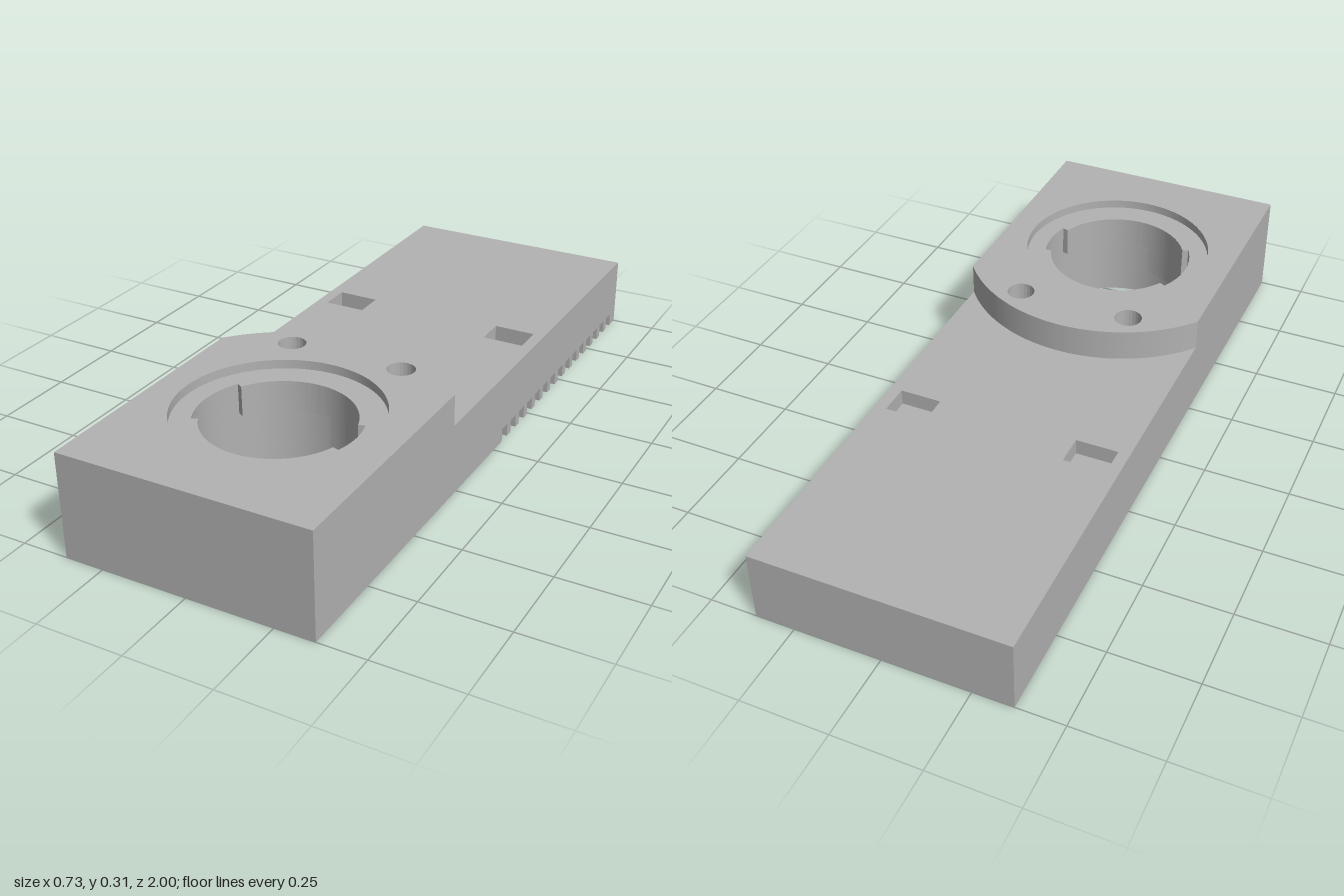
import * as THREE from 'three';
import { toCreasedNormals } from 'three/addons/utils/BufferGeometryUtils.js';

const W = 0.364, L = 1, WALL = 0.06;
const BORE_Z = 0.557, BORE_R = 0.226, LIP_R = 0.207;
const rad = THREE.MathUtils.degToRad;

// Shapes are drawn in plan: shape x = x, shape y = -z.
function circle(x, z, r, Type = THREE.Path) {
  const p = new Type();
  p.absarc(x, -z, r, 0, Math.PI * 2, false);
  return p;
}

function polygon(points, Type = THREE.Shape) {
  return new Type(points.map(([x, z]) => new THREE.Vector2(x, -z)));
}

function rect(x0, x1, z0, z1, Type = THREE.Shape) {
  return polygon([[x0, z1], [x1, z1], [x1, z0], [x0, z0]], Type);
}

// Part of a ring around the bore, angles in degrees
function sector(r0, r1, a0, a1) {
  const s = new THREE.Shape();
  s.absarc(0, -BORE_Z, r1, rad(a0), rad(a1), false);
  s.absarc(0, -BORE_Z, r0, rad(a1), rad(a0), true);
  s.closePath();
  return s;
}

export function createModel() {
  const group = new THREE.Group();
  const grey = new THREE.MeshStandardMaterial({ color: 0xb2b2b2 });
  grey.name = 'plainGrey';

  // Extrudes a plan shape upward from y0 to y1
  function slab(name, shape, y0, y1, holes = []) {
    shape.holes.push(...holes);
    const geo = new THREE.ExtrudeGeometry(shape, { depth: y1 - y0, bevelEnabled: false, curveSegments: 48 });
    geo.rotateX(-Math.PI / 2).translate(0, y0, 0);
    const mesh = new THREE.Mesh(toCreasedNormals(geo, rad(30)), grey);
    mesh.name = name;
    group.add(mesh);
  }

  const bore = () => circle(0, BORE_Z, BORE_R);

  // Bottom rim, with a comb of vent slots cut through the right-hand wall
  const outline = [[-W, L], [W, L]];
  const inner = [[W - WALL, -L + WALL], [-W + WALL, -L + WALL], [-W + WALL, L - WALL], [W - WALL, L - WALL]];
  const firstSlot = -0.057, pitch = 0.0615, slotWidth = 0.037, slots = 15;
  const lastSlot = firstSlot - pitch * (slots - 1) - slotWidth;
  slab('ventRim', polygon([
    ...outline, [W, firstSlot], [W - WALL, firstSlot], [W - WALL, L - WALL], [-W + WALL, L - WALL],
    [-W + WALL, -L + WALL], [W - WALL, -L + WALL], [W - WALL, lastSlot], [W, lastSlot], [W, -L], [-W, -L],
  ]), 0, 0.04);
  for (let i = 0; i < slots - 1; i++) {
    const z = firstSlot - slotWidth - i * pitch;
    slab('ventTooth', rect(W - WALL, W, z - (pitch - slotWidth), z), 0, 0.04);
  }
  slab('upperRim', rect(-W, W, -L, L), 0.04, 0.07, [polygon(inner, THREE.Path)]);

  // Collar around the bore on the underside
  slab('boreCollar', circle(0, BORE_Z, 0.274, THREE.Shape), 0, 0.07, [bore()]);

  // Main plate, with two blind rectangular pockets on top
  slab('basePlate', rect(-W, W, -L, L), 0.07, 0.165, [bore()]);
  slab('topPlate', rect(-W, W, -L, L), 0.165, 0.212, [
    bore(),
    rect(-0.33, -0.207, -0.35, -0.26, THREE.Path),
    rect(0.207, 0.33, -0.35, -0.26, THREE.Path),
  ]);

  // Raised head with a rounded rear edge, screw holes and a round recess
  function headShape() {
    const r = 0.462, a = Math.acos(W / r);
    const s = new THREE.Shape();
    s.moveTo(-W, -L);
    s.lineTo(W, -L);
    s.absarc(0, -BORE_Z, r, a, Math.PI - a, false);
    s.closePath();
    return s;
  }
  const screwHoles = () => [-1, 1].map((side) => circle(side * 0.172, 0.208, 0.04));
  slab('head', headShape(), 0.212, 0.28, [bore(), ...screwHoles()]);
  slab('headTop', headShape(), 0.28, 0.306, [circle(0, BORE_Z, 0.283), ...screwHoles()]);

  // Twist-lock lip with two entry gaps, and the stops below it
  for (const [a0, a1] of [[18, 151], [209, 342]]) slab('lockLip', sector(LIP_R, BORE_R + 0.002, a0, a1), 0.19, 0.28);
  for (const a of [28, 208]) slab('lockStop', sector(LIP_R, BORE_R + 0.002, a, a + 53), 0.095, 0.19);

  return group;
}
